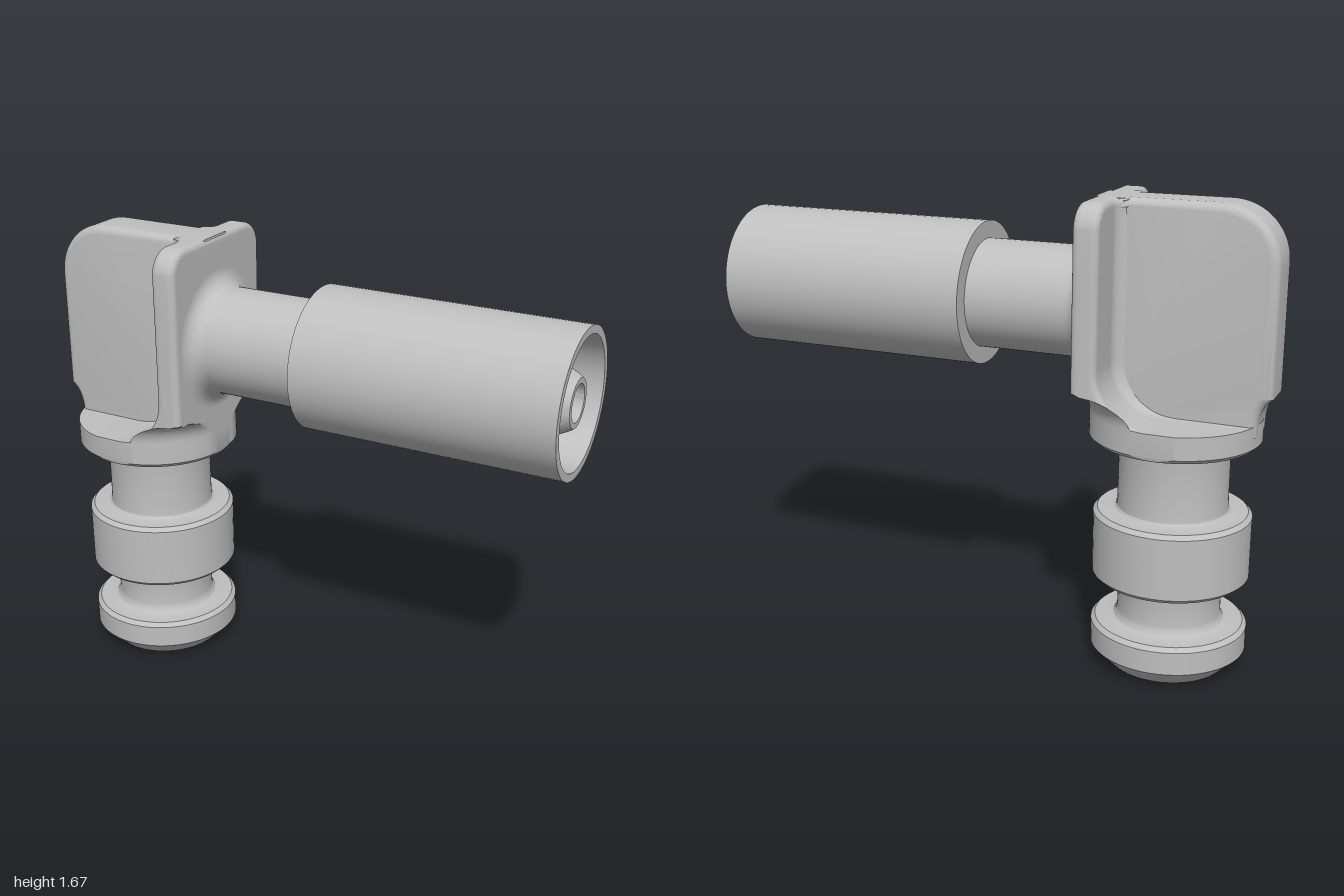
import * as THREE from 'three';
import { toCreasedNormals } from 'three/addons/utils/BufferGeometryUtils.js';

const AXIS_X = -0.655; // vertical stem axis
const ARM_Y = 1.29;    // horizontal arm axis
const TOP = 1.67, HALF = 0.29;

const grey = new THREE.MeshStandardMaterial({ color: 0xbfbfbf });
grey.name = 'metal grey';

function part(name, geometry, crease = 0.5) {
  const mesh = new THREE.Mesh(toCreasedNormals(geometry, crease), grey);
  mesh.name = name;
  return mesh;
}

function lathe(points) {
  return new THREE.LatheGeometry(points.map(([r, y]) => new THREE.Vector2(r, y)), 64);
}

// Height of a quarter-round inset, 0 beyond distance e from the edge
function roundInset(d, e) {
  if (d >= e) return 0;
  const k = e - Math.max(d, 0);
  return e - Math.sqrt(Math.max(0, e * e - k * k));
}

// Turned envelope that trims the lower body, flaring out to the square plate
function envelope(y) {
  if (y < 0.855) return 0.285 + (y - 0.84);
  if (y <= 0.94) return 0.30;
  if (y >= 1.03) return 1;
  const t = (y - 0.94) / 0.09;
  return 0.30 + 0.09 * (1 - Math.sqrt(1 - t * t));
}

// Collar and upright plate as one loft of horizontal sections
function bodyGeometry() {
  const N = 73;
  const levels = [[0.84], [0.855], [0.935], [0.935, true]];
  const addRange = (a, b, n) => {
    for (let i = 1; i <= n; i++) levels.push([a + (b - a) * i / n, true]);
  };
  addRange(0.935, 1.0299, 18);
  addRange(1.0299, 1.12, 10);
  addRange(1.12, 1.58, 3);
  for (let i = 1; i <= 16; i++) levels.push([1.58 + 0.09 * Math.sin(i / 16 * Math.PI / 2), true]);

  const rings = levels.map(([y, pocket]) => {
    const R = envelope(y);
    const Z = Math.min(R, y > 1.58 ? 0.20 + Math.sqrt(Math.max(0, 0.0081 - (y - 1.58) ** 2)) : HALF);
    const right = [], left = [];
    for (let k = 0; k < N; k++) {
      const z = Z * Math.sin((1 - 2 * k / (N - 1)) * Math.PI / 2);
      const arc = Math.sqrt(Math.max(0, R * R - z * z));
      // rounding along the plate outline
      const qx = Math.abs(z) - 0.20, qy = y - 1.58;
      const d = 0.09 - Math.hypot(Math.max(qx, 0), Math.max(qy, 0)) - Math.min(Math.max(qx, qy), 0);
      const inset = roundInset(d, 0.022);
      let xl = -1;
      if (pocket) {
        // rounded pocket corner, blended into the web
        xl = 0.015 + (y < 1.12 ? Math.sqrt(Math.max(0, 0.185 ** 2 - (1.12 - y) ** 2)) : 0.185);
        xl += inset - roundInset(Math.abs(z) - 0.09, 0.04);
      }
      const xr = Math.min(HALF - inset, arc);
      right.push([xr, y, z]);
      left.unshift([Math.min(xr, Math.max(xl, -arc)), y, z]);
    }
    return [...right, ...left];
  });

  const M = 2 * N, index = [];
  const quad = (a, b, c, d) => index.push(a, b, c, a, c, d);
  for (let r = 0; r < rings.length - 1; r++) {
    for (let i = 0; i < M; i++) {
      const j = (i + 1) % M;
      quad(r * M + i, r * M + j, (r + 1) * M + j, (r + 1) * M + i);
    }
  }
  const t = (rings.length - 1) * M;
  for (let k = 0; k < N - 1; k++) {
    quad(t + k, t + k + 1, t + M - 2 - k, t + M - 1 - k);
    quad(M - 1 - k, M - 2 - k, k + 1, k);
  }
  const g = new THREE.BufferGeometry();
  g.setAttribute('position', new THREE.Float32BufferAttribute(rings.flat(2), 3));
  g.setIndex(index);
  return g;
}

// Central web with a rounded rim
function webGeometry() {
  const b = 0.03, l = -1 + b, t = TOP - b, r = 0.17;
  const s = new THREE.Shape();
  s.moveTo(-0.40, 0.92);
  s.lineTo(-0.40, t);
  s.lineTo(l + r, t);
  s.absarc(l + r, t - r, r, Math.PI / 2, Math.PI, false);
  s.lineTo(l, 1.045);
  s.quadraticCurveTo(-0.925, 1.01, -0.922, 0.92);
  s.closePath();
  const g = new THREE.ExtrudeGeometry(s, {
    depth: 0.12, bevelEnabled: true, bevelSize: b, bevelThickness: b, bevelSegments: 6, curveSegments: 16,
  });
  return g.translate(0, 0, -0.06);
}

export function createModel() {
  const model = new THREE.Group();
  model.name = 'elbowFitting';

  // Grooved stem with bottom bore
  const stem = part('stem', lathe([
    [0, 0.80], [0.08, 0.80], [0.08, 0], [0.215, 0], [0.28, 0.065], [0.28, 0.148], [0.265, 0.163],
    [0.215, 0.163], [0.197, 0.170], [0.188, 0.182], [0.185, 0.20],
    [0.185, 0.293], [0.188, 0.311], [0.197, 0.323], [0.215, 0.33],
    [0.265, 0.33], [0.28, 0.345], [0.28, 0.565], [0.265, 0.58],
    [0.215, 0.58], [0.203, 0.584], [0.197, 0.591], [0.195, 0.605],
    [0.195, 0.815], [0.197, 0.828], [0.203, 0.836], [0.215, 0.842],
  ]));
  stem.position.x = AXIS_X;
  model.add(stem);

  const body = part('collarAndPlate', bodyGeometry());
  body.position.x = AXIS_X;
  model.add(body);

  model.add(part('web', webGeometry()));

  // Neck fillet, neck, hollow sleeve and inner nozzle
  const profile = [];
  for (let i = 0; i <= 8; i++) {
    const a = i / 8 * Math.PI / 2;
    profile.push([0.255 - 0.06 * Math.sin(a), -0.305 - 0.06 * Math.cos(a)]);
  }
  profile.push(
    [0.195, 0.06], [0.257, 0.06], [0.257, 1], [0.228, 1], [0.198, 0.5], [0.198, 0.35],
    [0.125, 0.35], [0.125, 0.91], [0.095, 0.97], [0.085, 0.985], [0.065, 0.985], [0.065, -0.36], [0, -0.36],
  );
  const arm = part('arm', lathe(profile));
  arm.rotation.z = -Math.PI / 2;
  arm.position.y = ARM_Y;
  model.add(arm);

  return model;
}
